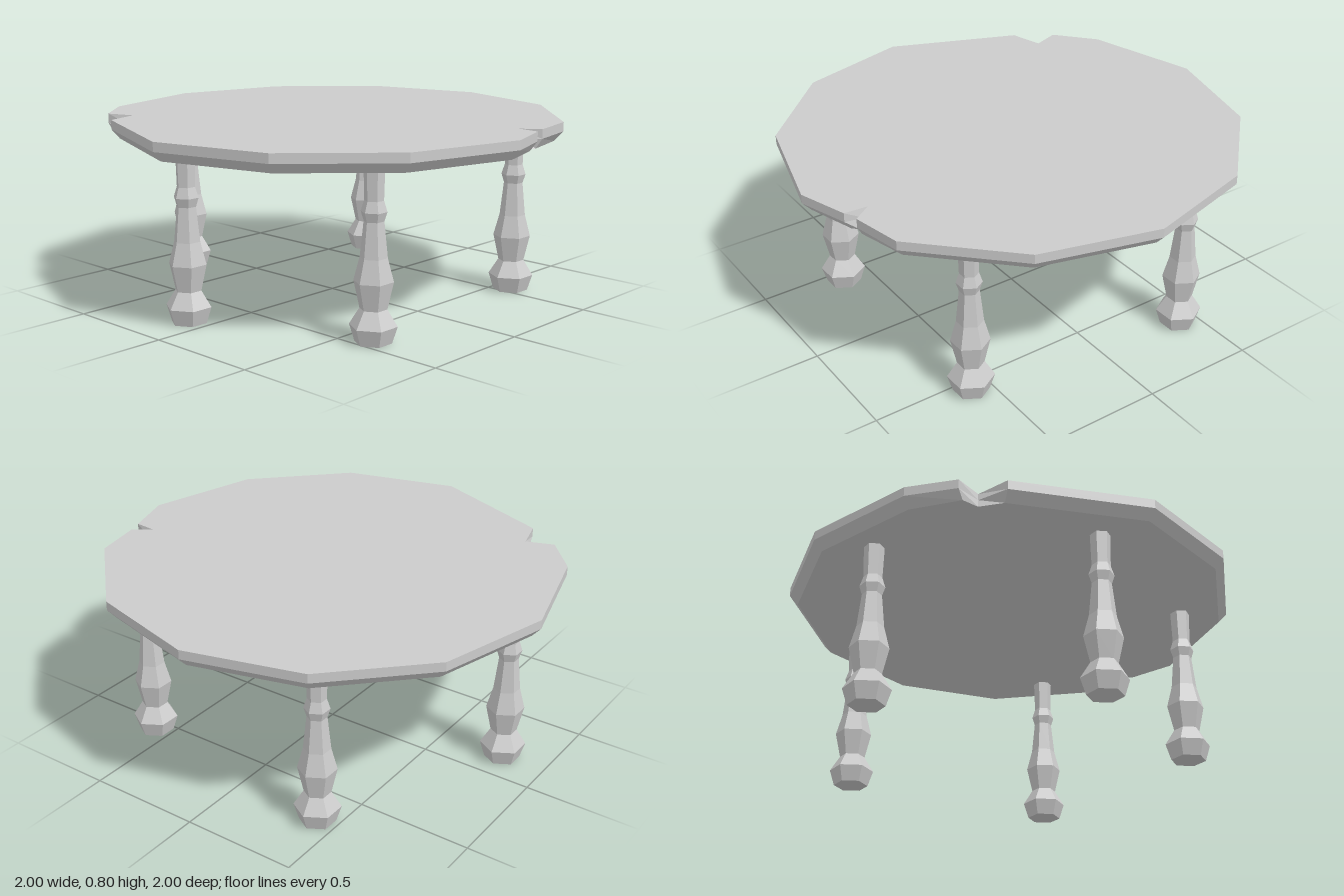
import * as THREE from 'three';

const material = new THREE.MeshStandardMaterial({ color: 0xcccccc, flatShading: true });
const TOP = 0.795, RIM = 0.755, UNDER = 0.713;

// Outline corners [x, z] at the top, rim and underside of the slab
function slabRings() {
  const corners = [];
  const add = (x, z, bx = x * 0.962, bz = z * 0.962, mx = x, mz = z) =>
    corners.push([[x, z], [mx, mz], [bx, bz]]);
  for (let i = 0; i < 12; i++) {
    if (i === 4) {
      // chip in the front edge, replacing one corner
      add(-0.56, 0.775, -0.55, 0.74);
      add(-0.6, 0.627, -0.62, 0.657, -0.61, 0.642);
      add(-0.72, 0.67, -0.695, 0.662);
      continue;
    }
    const a = i * Math.PI / 6;
    add(Math.cos(a), Math.sin(a));
  }
  // narrow crack in the side edge
  add(0.91, -0.28, 0.885, -0.27);
  add(0.83, -0.225, 0.875, -0.238, 0.853, -0.232);
  add(0.93, -0.217, 0.9, -0.21);
  // put the corners in order around the edge
  const turn = ([[x, z]]) => (Math.atan2(z, x) + Math.PI * 2 + 1e-6) % (Math.PI * 2);
  corners.sort((p, q) => turn(p) - turn(q));
  return [0, 1, 2].map(k => corners.map(c => new THREE.Vector2(...c[k])));
}

function slabGeometry() {
  const rings = slabRings(), heights = [TOP, RIM, UNDER];
  const n = rings[0].length, positions = [], index = [];
  rings.forEach((ring, k) => ring.forEach(p => positions.push(p.x, heights[k], p.y)));
  // upright rim and bevel below it
  for (let k = 0; k < 2; k++) {
    for (let i = 0; i < n; i++) {
      const a = k * n + i, b = k * n + (i + 1) % n;
      index.push(a, b, a + n, b, b + n, a + n);
    }
  }
  // top and underside
  for (const [a, b, c] of THREE.ShapeUtils.triangulateShape(rings[0], [])) index.push(a, c, b);
  for (const [a, b, c] of THREE.ShapeUtils.triangulateShape(rings[2], [])) {
    index.push(a + 2 * n, b + 2 * n, c + 2 * n);
  }
  const indexed = new THREE.BufferGeometry();
  indexed.setAttribute('position', new THREE.Float32BufferAttribute(positions, 3));
  indexed.setIndex(index);
  const geometry = indexed.toNonIndexed();
  geometry.computeVertexNormals();
  return geometry;
}

// Six-sided turned leg, [radius, height]
const legProfile = [
  [0, 0], [0.076, 0], [0.098, 0.07], [0.056, 0.138], [0.081, 0.25], [0.056, 0.345],
  [0.041, 0.49], [0.053, 0.528], [0.039, 0.572], [0.043, UNDER + 0.005],
].map(p => new THREE.Vector2(...p));

export function createModel() {
  const table = new THREE.Group();
  table.name = 'table';

  const slab = new THREE.Mesh(slabGeometry(), material);
  slab.name = 'tabletop';
  table.add(slab);

  const legGeometry = new THREE.LatheGeometry(legProfile, 6);
  const legs = [[-0.797, 0.15], [-0.41, -0.685], [-0.093, 0.763], [0.583, -0.55], [0.633, 0.435]];
  legs.forEach(([x, z], i) => {
    const leg = new THREE.Mesh(legGeometry, material);
    leg.name = `leg${i + 1}`;
    leg.position.set(x, 0, z);
    table.add(leg);
  });
  return table;
}
